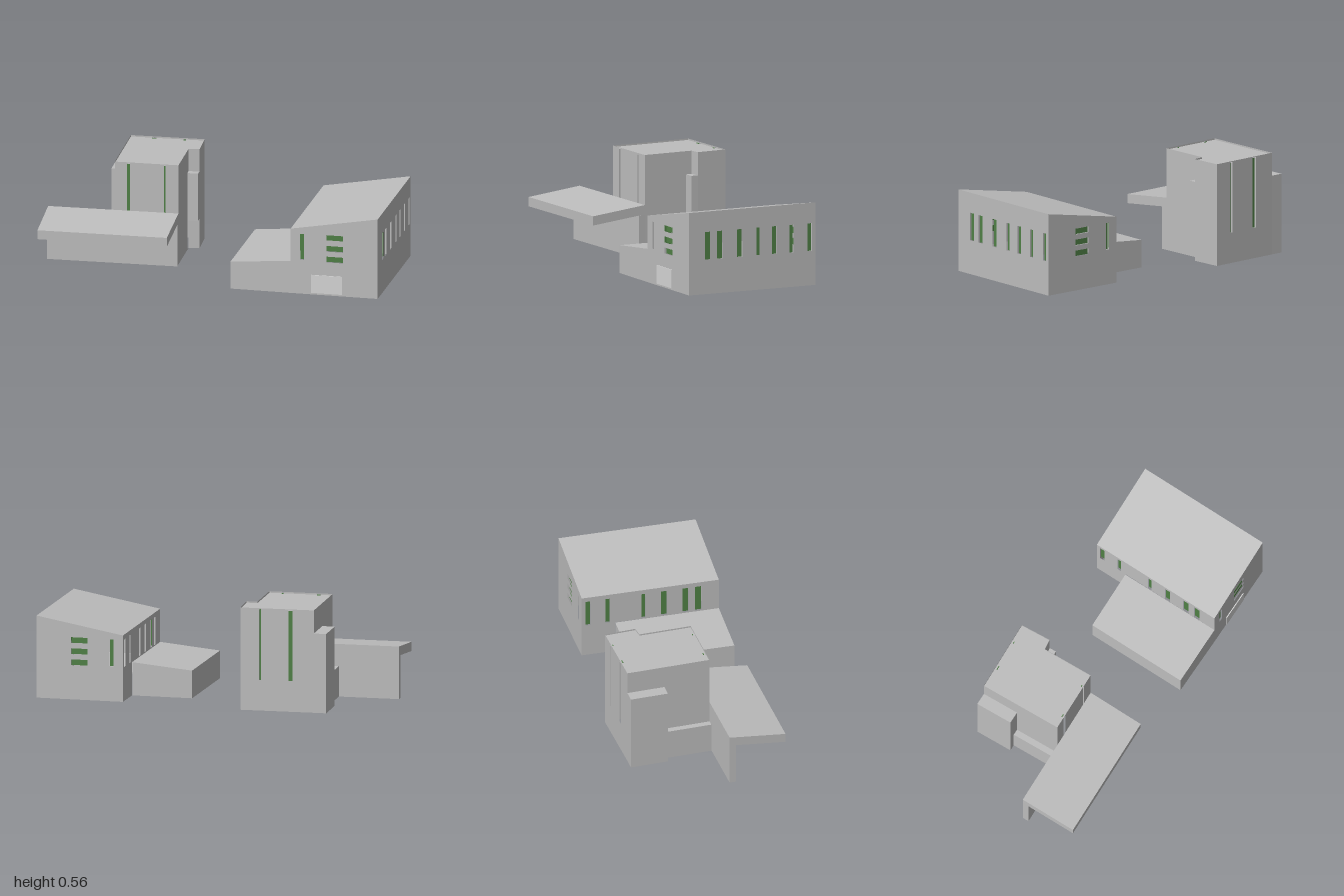
import * as THREE from 'three';

const mat = (name, color) => {
  const m = new THREE.MeshStandardMaterial({ color, side: THREE.DoubleSide });
  m.name = name;
  return m;
};

export function createModel() {
  const concrete = mat('concrete', 0xbdbdbd);
  const green = mat('green glass', 0x4f8045);
  const pale = mat('pale door', 0xd6d6d6);
  const model = new THREE.Group();

  const group = (name) => {
    const g = new THREE.Group();
    g.name = name;
    model.add(g);
    return g;
  };
  const add = (parent, name, geometry, material = concrete) => {
    const mesh = new THREE.Mesh(geometry, material);
    mesh.name = name;
    parent.add(mesh);
    return mesh;
  };

  // Flat-faced surface from quads of [x, y, z] corners
  const quads = (list) => {
    const pos = list.flatMap(([a, b, c, d]) => [a, b, c, a, c, d].flat());
    const g = new THREE.BufferGeometry();
    g.setAttribute('position', new THREE.Float32BufferAttribute(pos, 3));
    g.computeVertexNormals();
    return g;
  };

  // Solid over a four-cornered plan ([x, z], anticlockwise from above), one bottom and top height per corner
  const prism = (plan, bottom, top) => {
    const lo = plan.map(([x, z], i) => [x, bottom[i], z]);
    const hi = plan.map(([x, z], i) => [x, top[i], z]);
    const sides = plan.map((_, i) => {
      const j = (i + 1) % 4;
      return [lo[i], lo[j], hi[j], hi[i]];
    });
    return quads([hi, [...lo].reverse(), ...sides]);
  };
  const level = (h) => [h, h, h, h];

  // Upright wall from p to q with openings [start fraction, end fraction, y0, y1] and recessed glass
  const wall = (parent, name, p, q, outline, openings = []) => {
    const dx = q[0] - p[0], dz = q[1] - p[1], length = Math.hypot(dx, dz);
    const g = new THREE.Group();
    g.name = name;
    g.position.set(p[0], 0, p[1]);
    g.rotation.y = Math.atan2(-dz, dx);
    parent.add(g);
    const shape = new THREE.Shape(outline.map(([t, y]) => new THREE.Vector2(t * length, y)));
    for (const [t0, t1, y0, y1, open] of openings) {
      const a = t0 * length, b = t1 * length;
      shape.holes.push(new THREE.Path([[a, y0], [a, y1], [b, y1], [b, y0]].map((c) => new THREE.Vector2(...c))));
      if (open) continue;
      const pane = add(g, 'windowPane', new THREE.BoxGeometry(b - a, y1 - y0, 0.004), green);
      pane.position.set((a + b) / 2, (y0 + y1) / 2, -0.012);
    }
    add(g, name + 'Surface', new THREE.ShapeGeometry(shape));
    return g;
  };
  const upright = (h0, h1 = h0) => [[0, 0], [1, 0], [1, h1], [0, h0]];

  // ---- Hall with a sloping roof ----
  const hall = group('hall');
  const A = [0.58, -0.17], B = [1, 0.05], C = [0.64, 0.71], D = [0.22, 0.49];
  const low = 0.36, high = 0.445;
  const endWindows = [[0.11, 0.155, 0.19, 0.335]];
  for (const y of [0.185, 0.245, 0.305]) endWindows.push([0.41, 0.6, y, y + 0.032]);
  const flipped = endWindows.map(([a, b, y0, y1]) => [1 - b, 1 - a, y0, y1]);
  const slots = [[0.15, 0.046], [0.243, 0.046], [0.4, 0.044], [0.55, 0.03], [0.675, 0.036], [0.81, 0.03], [0.955, 0.036]]
    .map(([t, w]) => [t - w / 2, t + w / 2, 0.185, 0.335]);

  const front = wall(hall, 'hallFrontWall', D, C, upright(low, high), endWindows);
  wall(hall, 'hallLeftWall', C, B, upright(high), slots);
  wall(hall, 'hallBackWall', B, A, upright(high, low), flipped);
  wall(hall, 'hallInnerWall', A, D,
    [[0, 0], [0.243, 0], [0.243, 0.18], [1, 0.18], [1, low], [0, low]],
    slots.filter((_, i) => i !== 4).map(([a, b, y0, y1]) => [1 - b, 1 - a, y0, y1]));
  const at = ([x, z], y) => [x, y, z];
  add(hall, 'hallRoof', quads([[at(D, low), at(C, high), at(B, high), at(A, low)]]));
  const door = add(front, 'door', new THREE.BoxGeometry(0.168, 0.1, 0.006), pale);
  door.position.set(0.197, 0.06, 0.002);

  // ---- Low annex beside the hall ----
  const annex = group('annex');
  const E = [-0.07, 0.335], F = [0.2, -0.16], G = [0.49, -0.01];
  wall(annex, 'annexFrontWall', E, D, upright(0.15, 0.18));
  wall(annex, 'annexSideWall', F, E, upright(0.15));
  wall(annex, 'annexBackWall', G, F, upright(0.18, 0.15));
  add(annex, 'annexRoof', quads([[at(E, 0.15), at(D, 0.18), at(G, 0.18), at(F, 0.15)]]));

  // ---- Tower with tall slits ----
  const tower = group('tower');
  const plan = [[-0.54, -0.28], [-0.23, -0.13], [-0.105, -0.385], [-0.05, -0.365], [0.02, -0.52], [-0.34, -0.69]];
  const slits = [[0.19, 0.24, 0.165, 0.55], [0.77, 0.8, 0.165, 0.55]];
  const backSlits = [[0.25, 0.28, 0.165, 0.55], [0.65, 0.71, 0.165, 0.55]];
  const doorway = [[0.885, 0.992, 0.003, 0.165, true]];
  const openings = [slits, doorway, [], [], backSlits, []];
  plan.forEach((p, i) => wall(tower, 'towerWall', p, plan[(i + 1) % 6], upright(0.555), openings[i]));
  const roof = new THREE.ShapeGeometry(new THREE.Shape(plan.map(([x, z]) => new THREE.Vector2(x, -z))));
  add(tower, 'towerRoof', roof.rotateX(-Math.PI / 2).translate(0, 0.547, 0));

  // Side blocks: stepped shaft, low ledge and the box hung over the doorway
  add(tower, 'sideShaft', prism([[-0.49, -0.535], [-0.43, -0.505], [-0.34, -0.69], [-0.4, -0.72]], level(0), level(0.43)));
  add(tower, 'sideLedge', prism([[-0.57, -0.295], [-0.54, -0.28], [-0.43, -0.505], [-0.46, -0.52]], level(0), level(0.165)));
  add(tower, 'doorwayBox', prism([[-0.12, -0.355], [-0.068, -0.33], [-0.05, -0.365], [-0.105, -0.385]], level(0.165), level(0.43)));

  // ---- Canopy on a single wall ----
  const canopy = group('canopy');
  add(canopy, 'canopyRoof', prism([[-1, -0.155], [-0.37, 0.15], [-0.23, -0.13], [-0.865, -0.435]],
    [0.2, 0.2, 0.235, 0.235], [0.25, 0.25, 0.285, 0.285]));
  add(canopy, 'canopyWall', prism([[-0.88, -0.403], [-0.245, -0.098], [-0.23, -0.13], [-0.865, -0.435]],
    level(0), [0.231, 0.231, 0.235, 0.235]));

  return model;
}
